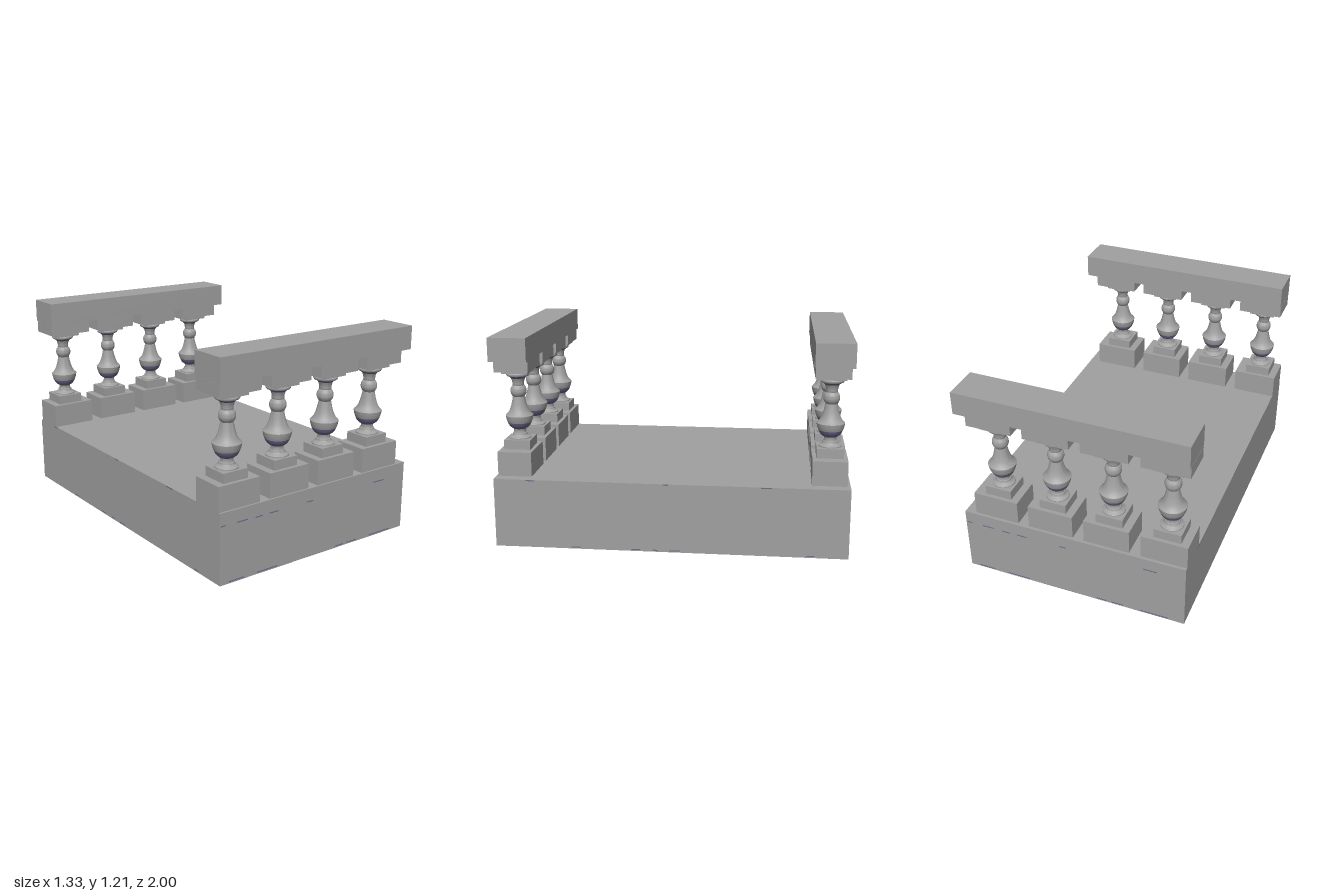
import * as THREE from 'three';
import { toCreasedNormals } from 'three/addons/utils/BufferGeometryUtils.js';

export function createModel() {
  const model = new THREE.Group();
  const stone = new THREE.MeshStandardMaterial({ color: 0xa0a0a0 });
  stone.name = 'greyStone';
  const slate = new THREE.MeshStandardMaterial({ color: 0x6c6a8f });
  slate.name = 'blueSlate';

  // Box given by its centre in plan, width, depth, lower and upper height
  function block(parent, name, x, z, w, d, y0, y1, material = stone) {
    const mesh = new THREE.Mesh(new THREE.BoxGeometry(w, y1 - y0, d), material);
    mesh.position.set(x, (y0 + y1) / 2, z);
    mesh.name = name;
    parent.add(mesh);
  }

  // Turned baluster sections, from foot to head
  const curve = (pts, n) => new THREE.SplineCurve(pts.map(p => new THREE.Vector2(...p))).getPoints(n);
  const ball = [];
  for (let i = 0; i <= 10; i++) {
    const a = -0.8 + 1.6 * i / 10;
    ball.push(new THREE.Vector2(0.046 * Math.cos(a), 0.87 + 0.046 * Math.sin(a)));
  }
  const sections = [
    ['balusterFoot', stone, [
      new THREE.Vector2(0, 0.593), new THREE.Vector2(0.064, 0.593), new THREE.Vector2(0.064, 0.6),
      ...curve([[0.06, 0.604], [0.045, 0.612], [0.041, 0.625]], 5),
      ...curve([[0.036, 0.627], [0.034, 0.64], [0.036, 0.649]], 3),
    ]],
    ['bowlUnderside', slate, curve([[0.036, 0.649], [0.05, 0.658], [0.061, 0.671], [0.069, 0.688]], 6)],
    ['balusterBody', stone, [
      ...curve([[0.069, 0.688], [0.075, 0.706], [0.079, 0.728]], 4),
      ...curve([[0.077, 0.73], [0.06, 0.749], [0.047, 0.78], [0.039, 0.812], [0.034, 0.837]], 9),
      ...ball,
      ...curve([[0.033, 0.905], [0.034, 0.925], [0.041, 0.945]], 4),
    ]],
    ['headUnderside', slate, curve([[0.041, 0.945], [0.05, 0.953], [0.063, 0.959]], 3)],
    ['balusterHead', stone, [
      new THREE.Vector2(0.063, 0.959), new THREE.Vector2(0.067, 0.965), new THREE.Vector2(0.067, 0.972),
      new THREE.Vector2(0.055, 0.982), new THREE.Vector2(0, 0.982),
    ]],
  ].map(([name, material, points]) =>
    [name, material, toCreasedNormals(new THREE.LatheGeometry(points, 32), 0.6)]);

  // Deck slab with slate bands under both ends
  block(model, 'deck', 0, 0, 1.326, 2, 0, 0.4);
  for (const s of [1, -1]) block(model, 'undersideBand', 0, s * 0.942, 1.322, 0.115, -0.001, 0.003, slate);

  // Thin slate streaks on the end faces: centre x, length, height
  const streaks = [
    [-0.64, 0.03, 0.328], [-0.52, 0.07, 0.328], [-0.41, 0.05, 0.325], [-0.31, 0.06, 0.326],
    [-0.06, 0.04, 0.326], [0.46, 0.08, 0.328],
    [-0.557, 0.1, 0.009], [-0.35, 0.14, 0.009], [0.17, 0.06, 0.009], [0.265, 0.07, 0.009], [0.485, 0.165, 0.009],
  ];
  for (const s of [1, -1]) {
    for (const [x, w, y] of streaks) block(model, 'endStreak', s * x, s * 0.999, w, 0.004, y - 0.003, y + 0.003, slate);
  }

  // Streaks on the long faces: centre z, length, height
  const sideStreaks = [
    [0.535, 0.05, 0.009], [0.19, 0.05, 0.009], [0.08, 0.03, 0.009], [-0.03, 0.06, 0.009],
    [-0.79, 0.04, 0.009], [0.79, 0.05, 0.396], [0.02, 0.03, 0.396], [-0.54, 0.06, 0.396],
  ];
  for (const s of [1, -1]) {
    for (const [z, d, y] of sideStreaks) block(model, 'sideStreak', s * 0.662, s * z, 0.004, d, y - 0.003, y + 0.003, slate);
  }

  // Balustrade along each end
  for (const [name, z, railZ] of [['frontBalustrade', 0.892, 0.892], ['backBalustrade', -0.885, -0.889]]) {
    const side = new THREE.Group();
    side.name = name;
    for (let i = 0; i < 4; i++) {
      const x = -0.541 + i * 0.3325;
      const px = x + 0.01;
      block(side, 'plinth', px, z, 0.266, 0.195, 0.4, 0.54);
      block(side, 'foot', x, z, 0.156, 0.152, 0.54, 0.594);
      const baluster = new THREE.Group();
      baluster.name = 'baluster';
      baluster.position.set(x, 0, z);
      for (const [part, material, geometry] of sections) {
        const mesh = new THREE.Mesh(geometry, material);
        mesh.name = part;
        baluster.add(mesh);
      }
      side.add(baluster);
      block(side, 'neckPlate', x, z, 0.156, 0.152, 0.98, 1);
      block(side, 'capital', px, z, 0.266, 0.195, 1, 1.07);
    }
    block(side, 'handrail', 0, railZ, 1.326, 0.215, 1.07, 1.204);
    model.add(side);
  }
  return model;
}
